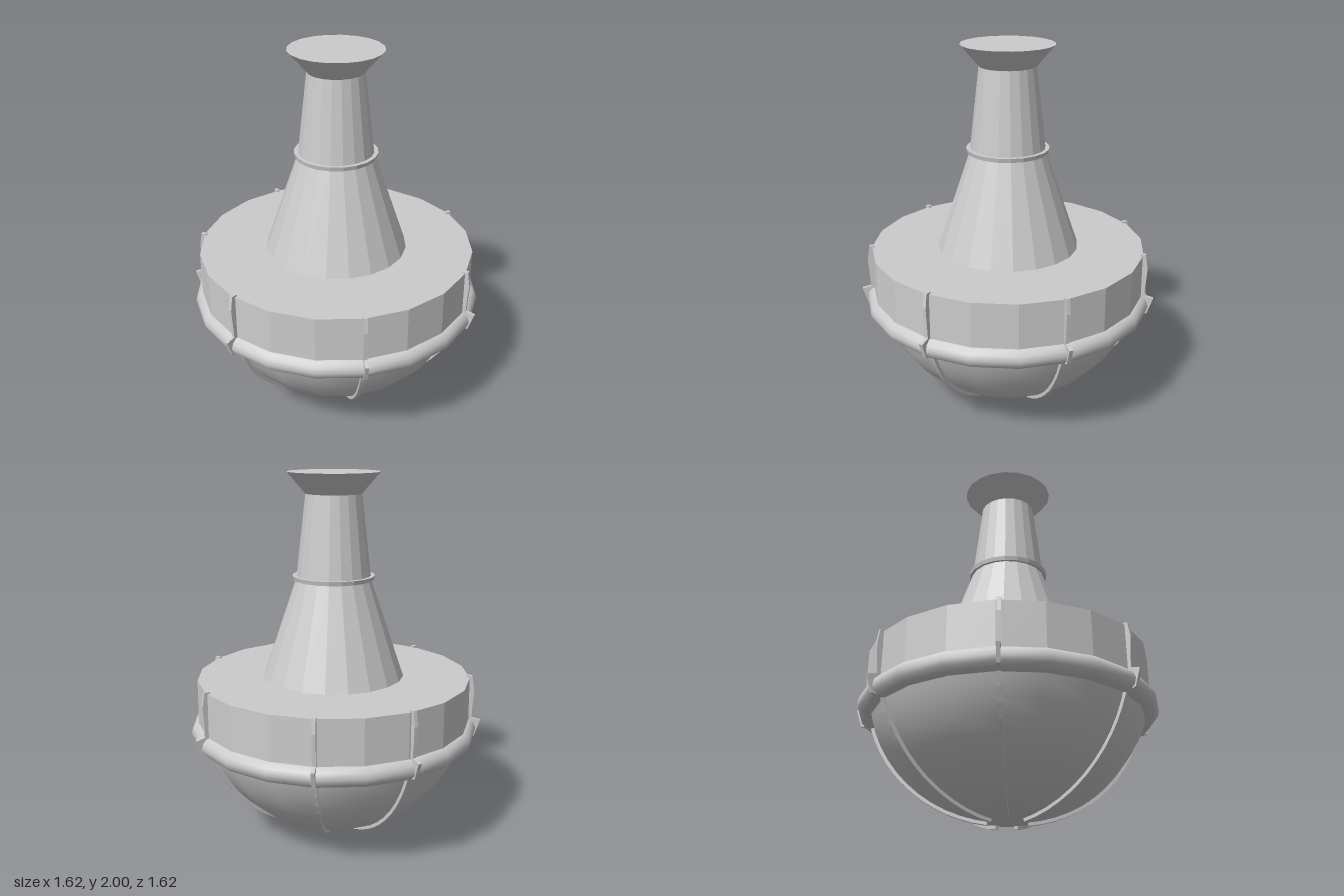
import * as THREE from 'three';

const SIDES = 20;
const CX = -0.015, CZ = 0.01;      // axis of the turned parts
const R = 0.762, CY = 0.775;       // sphere that shapes the bowl

export function createModel() {
  const model = new THREE.Group();
  const body = new THREE.Group();
  body.name = 'body';
  body.position.set(CX, 0, CZ);
  model.add(body);

  const smooth = new THREE.MeshStandardMaterial({ color: 0xcccccc, side: THREE.DoubleSide });
  const faceted = new THREE.MeshStandardMaterial({ color: 0xcccccc, flatShading: true, side: THREE.DoubleSide });

  const add = (name, geometry, material) => {
    const mesh = new THREE.Mesh(geometry, material);
    mesh.name = name;
    body.add(mesh);
    return mesh;
  };
  const frustum = (name, rTop, rBottom, y0, y1) => {
    add(name, new THREE.CylinderGeometry(rTop, rBottom, y1 - y0, SIDES), faceted)
      .position.y = (y0 + y1) / 2;
  };
  // Point on a sphere of radius r at angle a up from straight down
  const arc = (r, a) => new THREE.Vector2(r * Math.sin(a), CY - r * Math.cos(a));

  // Rounded bowl
  const bowl = [];
  const rimAngle = Math.acos((CY - 0.59) / R);
  for (let i = 0; i <= 12; i++) bowl.push(arc(R, rimAngle * i / 12));
  bowl[0].x = 0;
  add('bowl', new THREE.LatheGeometry(bowl, SIDES), smooth);

  // Upper wall with flat deck
  frustum('upperWall', 0.757, 0.76, 0.59, 0.89);

  // Rolled rim
  const rim = add('rim', new THREE.TorusGeometry(0.742, 0.058, 12, SIDES), smooth);
  rim.rotation.x = Math.PI / 2;
  rim.position.y = 0.593;

  // Neck, collar and flared mouth
  frustum('lowerNeck', 0.205, 0.39, 0.89, 1.43);
  frustum('collar', 0.225, 0.22, 1.427, 1.45);
  frustum('upperNeck', 0.152, 0.203, 1.45, 1.886);
  frustum('mouth', 0.25, 0.152, 1.886, 2);

  // Thin ribs that follow the bowl, step over the rim and climb the wall
  const outer = [], inner = [];
  const first = 0.14, last = Math.acos((CY - 0.54) / R);
  for (let i = 0; i <= 12; i++) {
    const a = first + (last - first) * i / 12;
    outer.push(arc(R + 0.017, a));
    inner.push(arc(R - 0.025, a));
  }
  const steps = [[0.795, 0.55], [0.825, 0.642], [0.776, 0.655], [0.785, 0.82], [0.772, 0.9]];
  steps.forEach(([x, y]) => outer.push(new THREE.Vector2(x, y)));
  inner.push(new THREE.Vector2(0.735, 0.65), new THREE.Vector2(0.742, 0.9));
  const width = 0.02;
  const ribGeometry = new THREE.ExtrudeGeometry(
    new THREE.Shape([...outer, ...inner.reverse()]), { depth: width, bevelEnabled: false });
  ribGeometry.translate(0, 0, -width / 2);
  const spacing = THREE.MathUtils.degToRad(53.7);
  for (let k = -1; k <= 5; k++) {
    add('rib', ribGeometry, faceted).rotation.y = -k * spacing;
  }

  return model;
}
